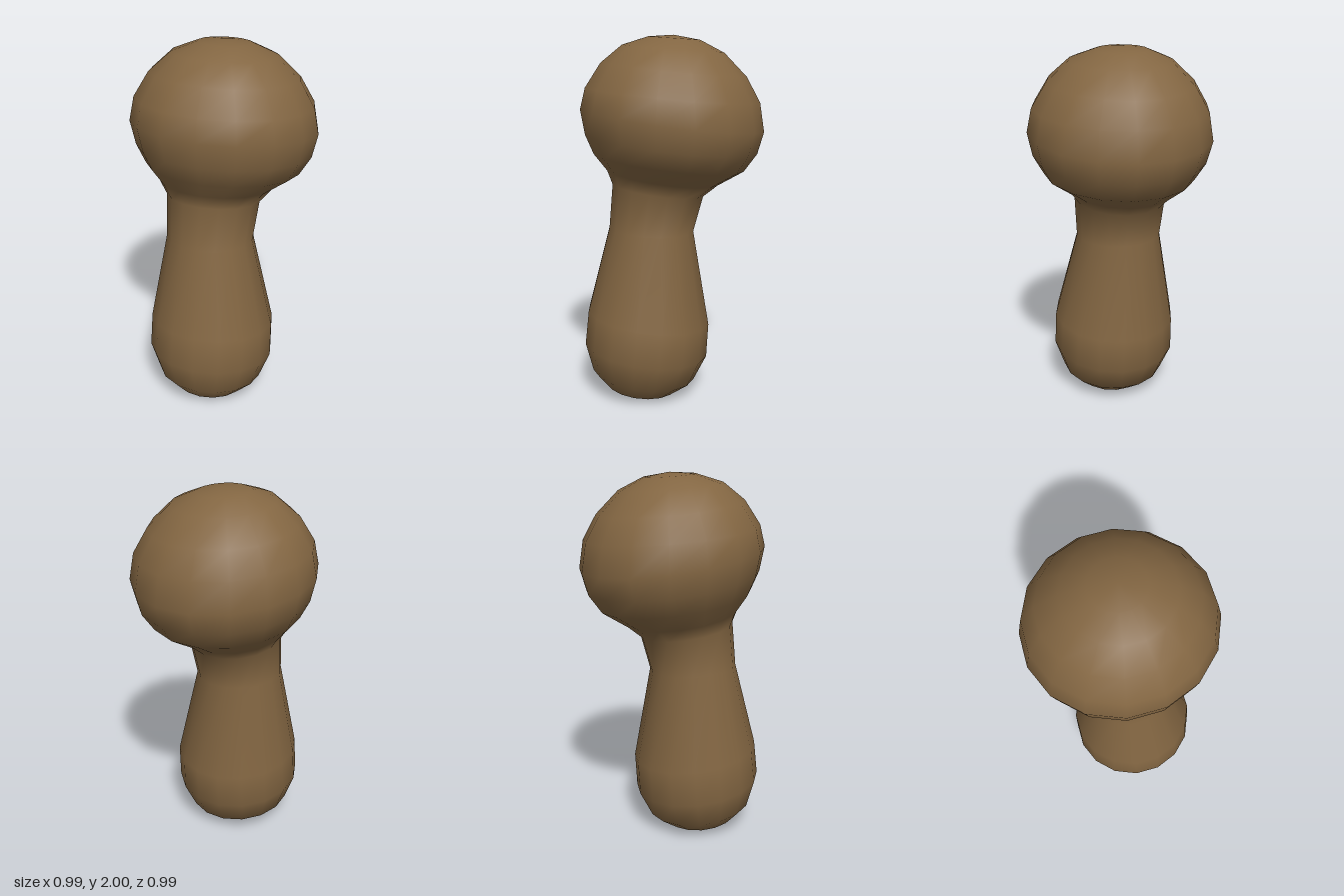
import * as THREE from 'three';

const SIDES = 16;
const PHASE = 0.07;

// Each ring: centre x, y, z, radius, and how much it rises towards +z
const RINGS = [
  [-0.055, 0.022, 0.170, 0.195, 0.105],
  [-0.053, 0.108, 0.155, 0.290, 0.11],
  [-0.050, 0.260, 0.140, 0.347, 0.12],
  [-0.045, 0.450, 0.125, 0.342, 0.12],
  [-0.060, 0.950, 0.102, 0.236, 0.04],
  [-0.045, 1.170, 0.068, 0.252, 0.14],
  [-0.035, 1.240, 0.045, 0.305, 0.14],
  [-0.005, 1.330, 0.018, 0.410, 0.12],
  [0.000, 1.430, 0.005, 0.467, 0.11],
  [0.000, 1.555, 0.000, 0.496, 0.12],
  [0.000, 1.690, -0.002, 0.470, 0.08],
  [0.000, 1.820, -0.008, 0.392, 0.09],
  [0.000, 1.928, -0.005, 0.275, 0.07],
  [0.000, 1.983, -0.012, 0.140, 0.06],
];

function ringPoints([cx, cy, cz, r, tilt]) {
  return Array.from({ length: SIDES }, (_, j) => {
    const a = PHASE + (j / SIDES) * Math.PI * 2;
    const dx = r * Math.cos(a), dz = r * Math.sin(a);
    return [cx + dx, cy + tilt * dz - 0.035 * dx, cz + dz];
  });
}

function makeGeometry(points, index) {
  const geometry = new THREE.BufferGeometry();
  geometry.setAttribute('position', new THREE.Float32BufferAttribute(points.flat(), 3));
  geometry.setIndex(index);
  geometry.computeVertexNormals();
  return geometry;
}

export function createModel() {
  const model = new THREE.Group();
  model.name = 'roundHeadedPeg';
  const brown = new THREE.MeshStandardMaterial({ color: 0x836642 });
  brown.name = 'brown';

  // Smooth skin running from the foot, through the neck, over the head
  const points = RINGS.flatMap(ringPoints);
  const apex = points.push([0, 2.0, -0.01]) - 1;
  const index = [];
  for (let i = 0; i < RINGS.length; i++) {
    for (let j = 0; j < SIDES; j++) {
      const a = i * SIDES + j, b = i * SIDES + (j + 1) % SIDES;
      if (i === RINGS.length - 1) index.push(a, apex, b);
      else index.push(a, a + SIDES, b, b, a + SIDES, b + SIDES);
    }
  }
  const body = new THREE.Mesh(makeGeometry(points, index), brown);
  body.name = 'stemAndHead';
  model.add(body);

  // Flat, hard-edged underside
  const rim = ringPoints(RINGS[0]);
  const fan = [];
  for (let j = 1; j < SIDES - 1; j++) fan.push(0, j, j + 1);
  const base = new THREE.Mesh(makeGeometry(rim, fan), brown);
  base.name = 'flatBase';
  model.add(base);

  return model;
}
